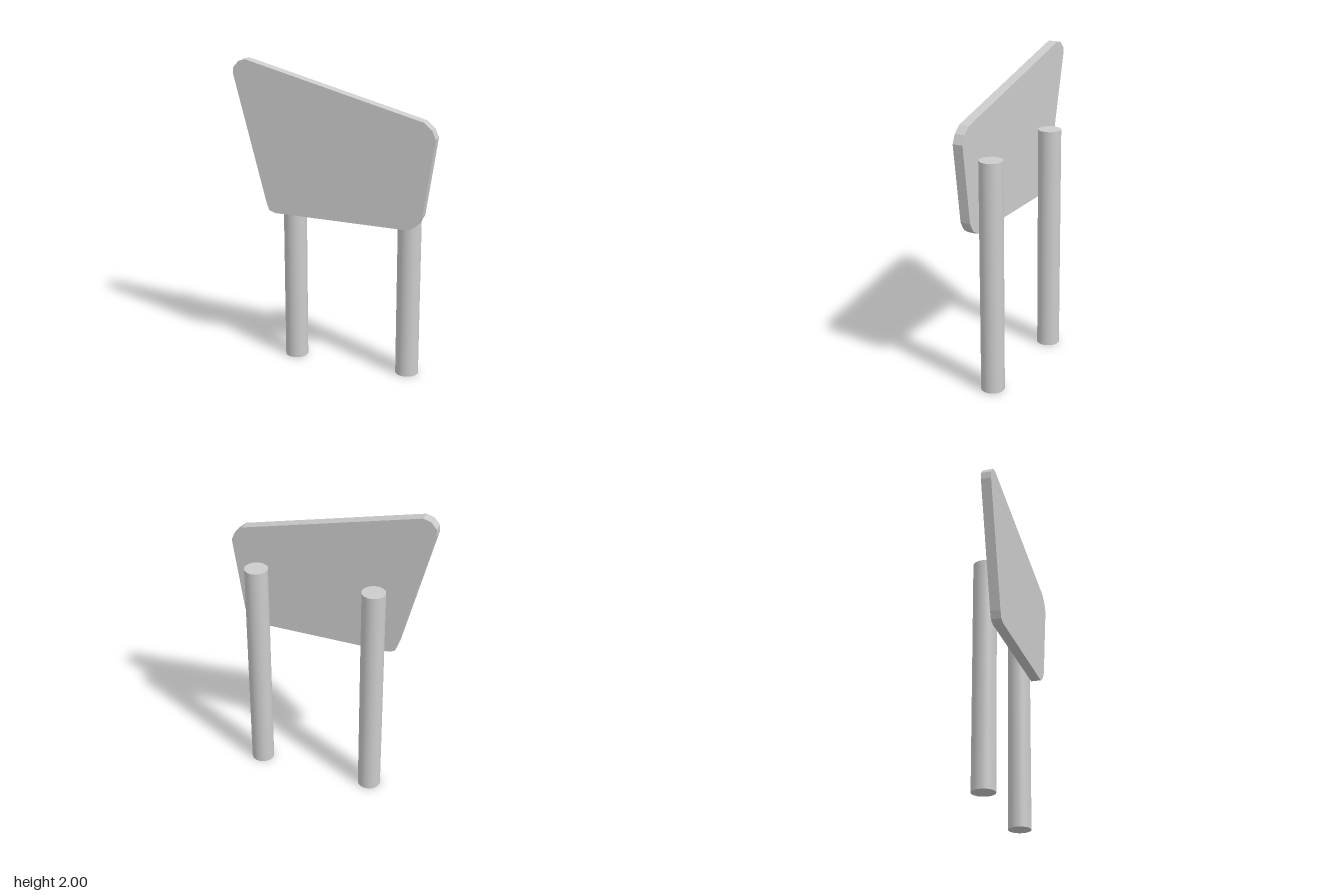
import * as THREE from 'three';

export function createModel() {
  const group = new THREE.Group();
  group.name = 'signOnPosts';
  const smooth = new THREE.MeshStandardMaterial({ color: 0xcccccc });
  const flat = new THREE.MeshStandardMaterial({ color: 0xcccccc, flatShading: true });

  // Slanted four-sided panel with chamfered corners, counter-clockwise
  const outline = [
    [-0.39, 1.027], [0.495, 1.027], [0.548, 1.06], [0.583, 1.118],
    [0.655, 1.615], [0.63, 1.67], [0.58, 1.712],
    [-0.57, 2], [-0.617, 1.987], [-0.655, 1.944], [-0.655, 1.9],
    [-0.447, 1.09], [-0.43, 1.043],
  ].map(([x, y]) => new THREE.Vector2(x, y));
  const panelGeometry = new THREE.ExtrudeGeometry(new THREE.Shape(outline), {
    depth: 0.065, bevelEnabled: false,
  });
  panelGeometry.translate(0, 0, 0.042);
  const panel = new THREE.Mesh(panelGeometry, flat);
  panel.name = 'panel';
  group.add(panel);

  // Two round posts behind the panel
  const postHeight = 1.487;
  const postGeometry = new THREE.CylinderGeometry(0.074, 0.074, postHeight, 48);
  for (const [name, x] of [['rightPost', -0.31], ['leftPost', 0.461]]) {
    const post = new THREE.Mesh(postGeometry, smooth);
    post.name = name;
    post.position.set(x, postHeight / 2, -0.034);
    group.add(post);
  }
  return group;
}
